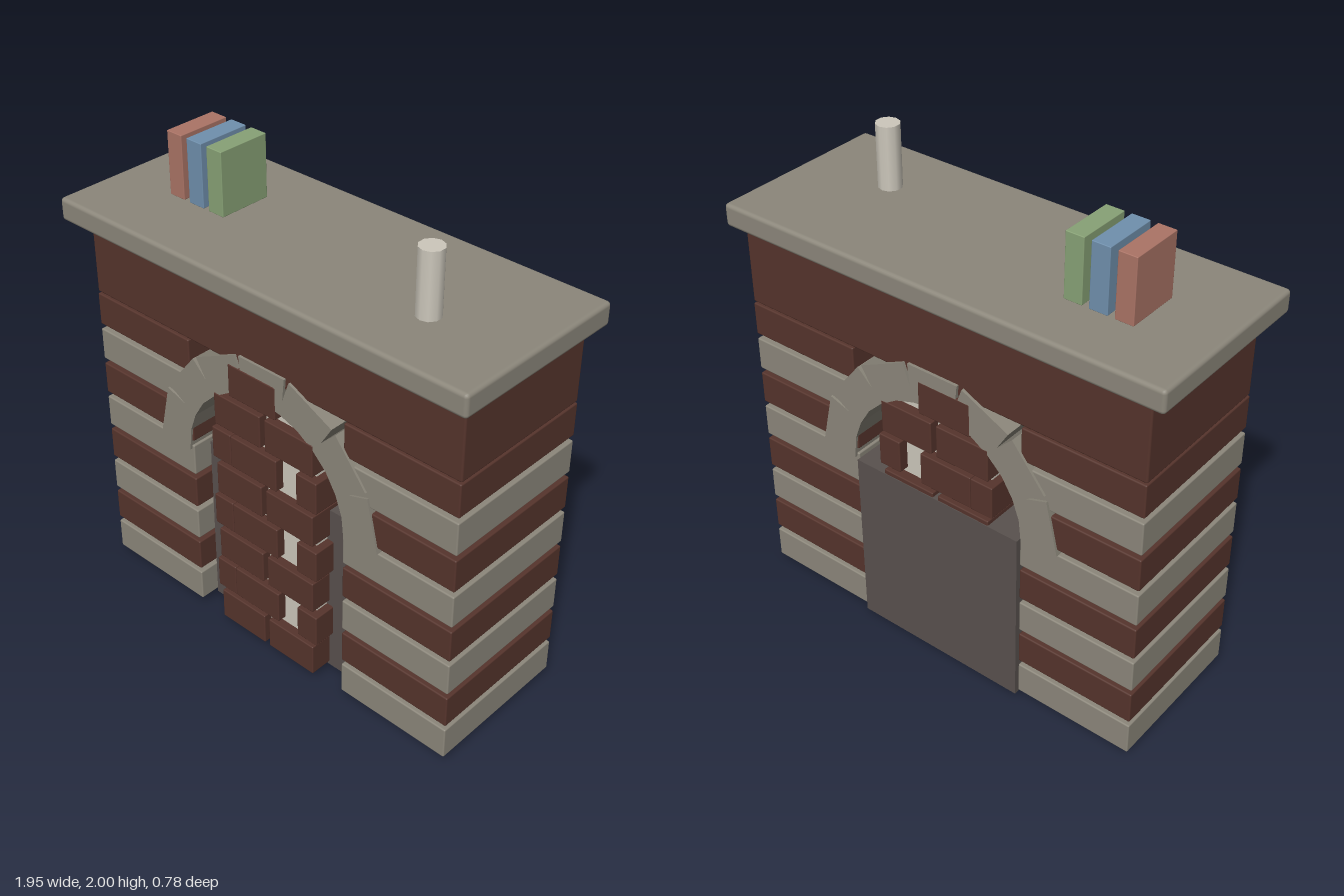
import * as THREE from 'three';
import { RoundedBoxGeometry } from 'three/addons/geometries/RoundedBoxGeometry.js';

const mat = (name, color) => {
  const m = new THREE.MeshStandardMaterial({ color });
  m.name = name;
  return m;
};

export function createModel() {
  const brick = mat('brick brown', 0x56342c);
  const stone = mat('stone grey', 0x8c877b);
  const mortar = mat('cream', 0xcdc8bc);
  const soot = mat('soot grey', 0x59514e);
  const char = mat('charcoal', 0x2c2624);
  const red = mat('book red', 0xab7466);
  const blue = mat('book blue', 0x7090ad);
  const green = mat('book green', 0x88a276);

  const root = new THREE.Group();
  root.name = 'fireplace';
  const group = (name) => {
    const g = new THREE.Group();
    g.name = name;
    root.add(g);
    return g;
  };

  // Box given by its limits on each axis, with optional softened edges
  const block = (parent, name, material, [x0, x1], [y0, y1], [z0, z1], r = 0) => {
    const size = [x1 - x0, y1 - y0, z1 - z0];
    const geo = r ? new RoundedBoxGeometry(...size, 2, r) : new THREE.BoxGeometry(...size);
    const mesh = new THREE.Mesh(geo, material);
    mesh.name = name;
    mesh.position.set((x0 + x1) / 2, (y0 + y1) / 2, (z0 + z1) / 2);
    parent.add(mesh);
    return mesh;
  };

  // Courses of the two side pillars, alternating stone and brick
  const ROWS = 8, STEP = 0.1628, HEIGHT = 0.141, BASE = 0.035;
  const rowY = (i) => [BASE + i * STEP, BASE + i * STEP + HEIGHT];
  for (const side of [-1, 1]) {
    const pillar = group(side > 0 ? 'leftPillar' : 'rightPillar');
    for (let i = 0; i < ROWS; i++) {
      const x = side > 0 ? [0.393, 0.91] : [-0.91, -0.393];
      block(pillar, 'course', i % 2 ? brick : stone, x, rowY(i), [-0.352, 0.302], 0.006);
    }
  }

  // Beam and mantel shelf
  block(root, 'beam', brick, [-0.91, 0.91], [1.322, 1.645], [-0.35, 0.3], 0.008);
  block(root, 'mantelShelf', stone, [-0.975, 0.975], [1.645, 1.74], [-0.388, 0.388], 0.016);

  // Firebox filling the opening
  block(root, 'firebox', soot, [-0.39, 0.39], [0.022, 0.808], [-0.366, 0.217]);

  // Mortar core with the inner brick stack around it
  block(root, 'mortarCore', mortar, [-0.24, 0.24], [0.024, 1.225], [-0.32, 0.275]);
  const stack = group('brickStack');
  const evenRow = [[-0.253, -0.012], [0.012, 0.253]];
  const oddRow = [[-0.272, -0.172], [-0.171, 0.068], [0.17, 0.272]];
  for (let i = 0; i < ROWS; i++) {
    const row = i === ROWS - 1 ? [oddRow[1]] : i % 2 ? oddRow : evenRow;
    for (const x of row) block(stack, 'innerBrick', brick, x, rowY(i), [-0.363, 0.314], 0.005);
  }

  // Arch of wedge stones; outer corners are narrower so small notches remain
  const arch = group('arch');
  const N = 7, CY = 0.818, INNER = 0.405, OUTER = 0.566;
  const polar = (deg, r) => {
    const a = THREE.MathUtils.degToRad(deg);
    return new THREE.Vector2(r * Math.cos(a), CY + r * Math.sin(a));
  };
  for (let i = 0; i < N; i++) {
    const mid = (i + 0.5) * 180 / N;
    const shape = new THREE.Shape([
      polar(mid - 14, INNER), polar(mid - 11.7, OUTER),
      polar(mid + 11.7, OUTER), polar(mid + 14, INNER), polar(mid, INNER),
    ]);
    const geo = new THREE.ExtrudeGeometry(shape, { depth: 0.673, bevelEnabled: false });
    const wedge = new THREE.Mesh(geo, stone);
    wedge.name = 'archStone';
    wedge.position.z = -0.362;
    arch.add(wedge);
  }

  // Low embers under the hearth
  const embers = group('embers');
  const spots = [[-0.1, 0.2], [-0.03, 0.1], [0.05, 0.22], [0.02, -0.08], [0.2, 0.12], [-0.06, 0]];
  spots.forEach(([x, z], i) => {
    const ember = new THREE.Mesh(new THREE.IcosahedronGeometry(0.04, 0), i % 2 ? brick : char);
    ember.name = 'ember';
    ember.scale.y = 0.6;
    ember.rotation.y = i * 1.3;
    ember.position.set(x, 0.0205, z);
    embers.add(ember);
  });

  // Books and candle on the shelf
  const books = group('books');
  [red, blue, green].forEach((m, i) => {
    const x = -0.69 + i * 0.104;
    block(books, 'book', m, [x, x + 0.076], [1.74, 2], [-0.145, 0.085], 0.003);
  });
  const candleGeo = new THREE.CylinderGeometry(0.048, 0.048, 0.26, 10);
  const candle = new THREE.Mesh(candleGeo, mortar);
  candle.name = 'candle';
  candle.position.set(0.583, 1.87, 0.1);
  root.add(candle);

  return root;
}
